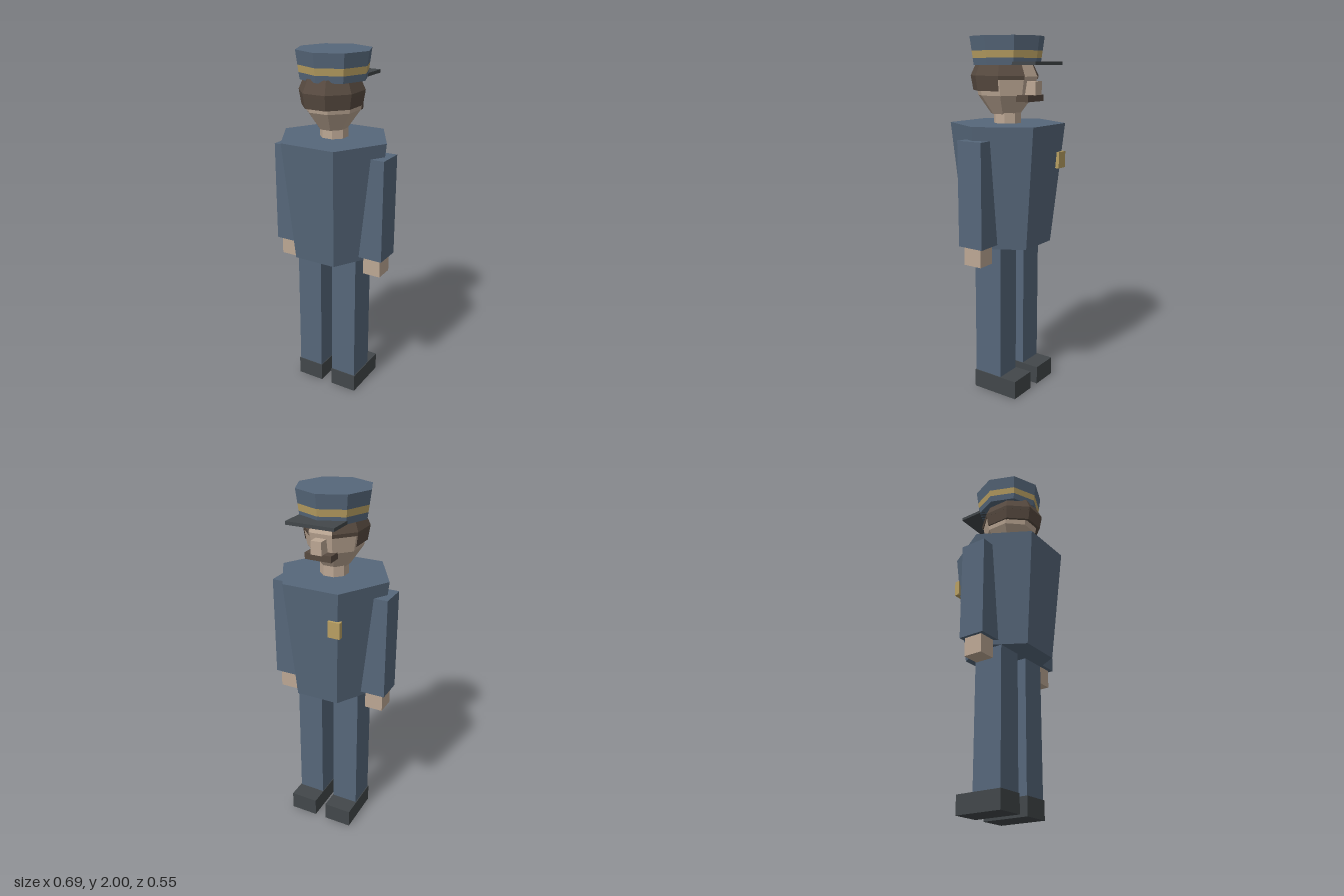
import * as THREE from 'three';

const flat = (name, color, side = THREE.FrontSide) => {
  const m = new THREE.MeshStandardMaterial({ color, flatShading: true, side });
  m.name = name;
  return m;
};

export function createModel() {
  const cloth = flat('blue cloth', 0x56677a);
  const skin = flat('skin', 0xbca794);
  const hair = flat('brown hair', 0x574a40, THREE.DoubleSide);
  const black = flat('black leather', 0x42474a);
  const gold = flat('gold', 0xb89f62);

  const root = new THREE.Group();
  root.name = 'uniformedFigure';

  const add = (name, geometry, material, x = 0, y = 0, z = 0) => {
    const mesh = new THREE.Mesh(geometry, material);
    mesh.name = name;
    mesh.position.set(x, y, z);
    root.add(mesh);
    return mesh;
  };
  // box given by its two extents on each axis
  const box = (name, material, [x0, x1], [y0, y1], [z0, z1]) =>
    add(name, new THREE.BoxGeometry(x1 - x0, y1 - y0, z1 - z0), material,
      (x0 + x1) / 2, (y0 + y1) / 2, (z0 + z1) / 2);
  // tapered prism between two heights
  const prism = (name, material, sides, y0, y1, r0, r1, start = 0, open = false, length = Math.PI * 2) =>
    add(name, new THREE.CylinderGeometry(r1, r0, y1 - y0, sides, 1, open, start, length), material, 0, (y0 + y1) / 2, 0);

  // limbs, mirrored; the figure faces -z
  for (const s of [1, -1]) {
    const side = s > 0 ? 'left' : 'right';
    const span = (a, b) => (s > 0 ? [a, b] : [-b, -a]);
    box(side + 'Shoe', black, span(0.034, 0.195), [0, 0.105], [-0.19, 0.092]);
    box(side + 'Leg', cloth, span(0.038, 0.19), [0.105, 0.88], [-0.087, 0.087]);
    box(side + 'Arm', cloth, span(0.19, 0.343), [0.895, 1.467], [-0.077, 0.077]);
    box(side + 'Hand', skin, span(0.222, 0.325), [0.79, 0.895], [-0.055, 0.055]);
  }

  // jacket and badge
  prism('jacket', cloth, 6, 0.87, 1.54, 0.245, 0.318, Math.PI / 6);
  box('badge', gold, [-0.168, -0.1], [1.295, 1.385], [-0.275, -0.245]);

  // neck and head
  const turn = Math.PI / 8;
  prism('neck', skin, 8, 1.53, 1.61, 0.077, 0.077, turn);
  const profile = [[0, 1.59], [0.078, 1.59], [0.147, 1.69], [0.165, 1.79], [0.135, 1.865], [0, 1.865]]
    .map(([r, y]) => new THREE.Vector2(r, y));
  const head = add('head', new THREE.LatheGeometry(profile, 8, turn), skin, 0, 0, 0.012);
  head.scale.z = 1.08;
  box('nose', skin, [-0.03, 0.03], [1.695, 1.767], [-0.203, -0.12]);
  box('moustache', hair, [-0.075, 0.075], [1.66, 1.695], [-0.185, -0.11]);

  // hair: low at the back, higher along the temples
  const shell = (name, points, half) => {
    const geo = new THREE.LatheGeometry(points.map(([r, y]) => new THREE.Vector2(r, y)),
      Math.round(half / turn), -half, half * 2);
    const mesh = add(name, geo, hair, 0, 0, 0.022);
    mesh.scale.z = 1.13;
  };
  shell('backHair', [[0.145, 1.715], [0.16, 1.715], [0.173, 1.795], [0.142, 1.865]], turn * 5);
  shell('templeHair', [[0.162, 1.775], [0.17, 1.775], [0.173, 1.795], [0.142, 1.865]], turn * 7);

  // cap in three stacked tiers, with a visor
  const capRadius = (y) => 0.184 + (y - 1.85) * 0.14;
  const tier = (name, material, y0, y1) => prism(name, material, 8, y0, y1, capRadius(y0), capRadius(y1));
  tier('capBase', cloth, 1.85, 1.887);
  tier('capBand', gold, 1.887, 1.925);
  tier('capCrown', cloth, 1.925, 2);
  box('capVisor', black, [-0.134, 0.134], [1.85, 1.868], [-0.267, -0.1]);

  return root;
}
